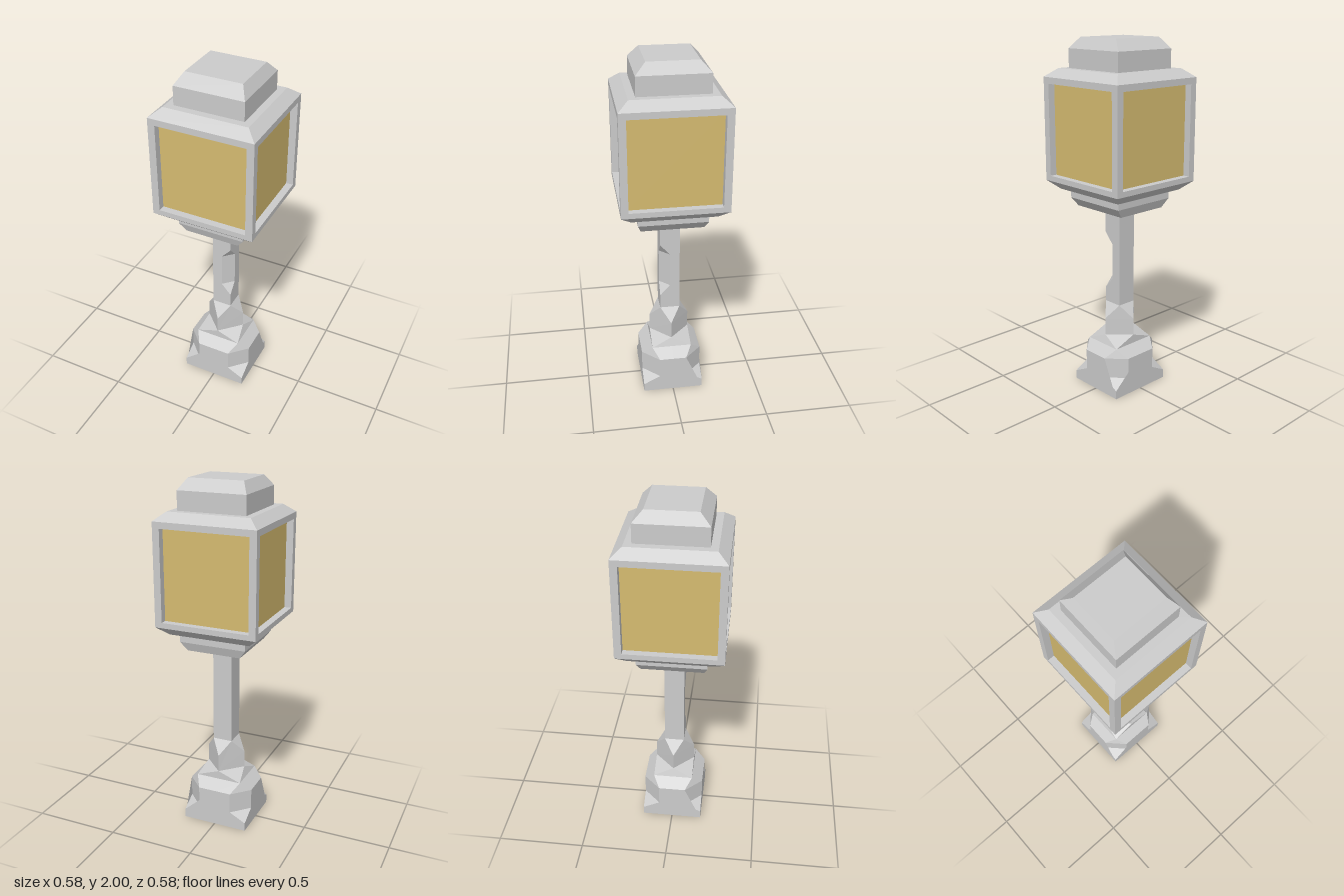
import * as THREE from 'three';

const grey = new THREE.MeshStandardMaterial({ color: 0xcccccc, flatShading: true, side: THREE.DoubleSide });
const amber = new THREE.MeshStandardMaterial({ color: 0xd5bb70 });

// Flat polygons (counter-clockwise corner lists) split into triangle fans
function facesMesh(name, faces) {
  const pos = [];
  for (const f of faces)
    for (let i = 1; i < f.length - 1; i++) pos.push(...f[0], ...f[i], ...f[i + 1]);
  const g = new THREE.BufferGeometry();
  g.setAttribute('position', new THREE.Float32BufferAttribute(pos, 3));
  g.computeVertexNormals();
  const m = new THREE.Mesh(g, grey);
  m.name = name;
  return m;
}

// Mirror the faces of the +x +z quarter into another quarter, keeping them outward
function quarter(faces, sx, sz) {
  return faces.map(f => {
    const p = f.map(([x, y, z]) => [x * sx, y, z * sz]);
    return sx * sz < 0 ? p.reverse() : p;
  });
}
const quarters = [[1, 1], [-1, 1], [-1, -1], [1, -1]];
const allQuarters = faces => quarters.flatMap(([sx, sz]) => quarter(faces, sx, sz));

// Closed solid through rectangular sections [halfX, y, halfZ], listed bottom to top
function stack(name, sections) {
  const rings = sections.map(([hx, y, hz]) => [[hx, y, hz], [hx, y, -hz], [-hx, y, -hz], [-hx, y, hz]]);
  const faces = [[...rings[0]].reverse(), rings[rings.length - 1]];
  for (let i = 0; i < rings.length - 1; i++)
    for (let k = 0; k < 4; k++) {
      const n = (k + 1) % 4;
      faces.push([rings[i][k], rings[i][n], rings[i + 1][n], rings[i + 1][k]]);
    }
  return facesMesh(name, faces);
}

function box(name, w, h, d, x, y, z, mat = grey) {
  const m = new THREE.Mesh(new THREE.BoxGeometry(w, h, d), mat);
  m.position.set(x, y, z);
  m.name = name;
  return m;
}

export function createModel() {
  const model = new THREE.Group();
  model.name = 'lampPost';

  // Foot: open-bottomed block with chipped corners, sloping up to a gabled crown
  const X = 0.193, Z = 0.175, cx = 0.098, cz = 0.078, tx = 0.135, tz = 0.115, d = 0.115;
  model.add(facesMesh('foot', allQuarters([
    [[0, 0, Z], [X, 0, Z], [X, 0.05, Z], [cx, 0.1, Z], [cx, 0.22, Z], [0, 0.22, Z]],
    [[X, 0, 0], [X, 0.22, 0], [X, 0.22, cz], [X, 0.1, cz], [X, 0.05, Z], [X, 0, Z]],
    [[X, 0.05, Z], [X, 0.1, cz], [cx, 0.1, Z]],
    [[cx, 0.1, Z], [X, 0.1, cz], [X, 0.22, cz], [cx, 0.22, Z]],
    [[cx, 0.22, Z], [X, 0.22, cz], [tx, 0.27, tz]],
    [[0, 0.22, Z], [cx, 0.22, Z], [tx, 0.27, tz], [0, 0.27, tz]],
    [[X, 0.22, cz], [X, 0.22, 0], [tx, 0.27, 0], [tx, 0.27, tz]],
    [[0, 0.27, tz], [tx, 0.27, tz], [0, 0.32, d]],
    [[tx, 0.27, tz], [tx, 0.27, 0], [d, 0.32, 0]],
    [[tx, 0.27, tz], [d, 0.32, 0], [0, 0.32, d]],
  ])));

  // Diamond-shaped plinth narrowing to the square shaft
  const s = 0.0565;
  model.add(facesMesh('plinth', allQuarters([
    [[0, 0.32, d], [d, 0.32, 0], [d, 0.42, 0], [s, 0.5, s], [0, 0.42, d]],
    [[0, 0.42, d], [s, 0.5, s], [0, 0.5, s]],
    [[d, 0.42, 0], [s, 0.5, 0], [s, 0.5, s]],
  ])));

  // Square shaft with one chipped corner at the front left
  const top = 1.08;
  const plain = [
    [[0, 0.5, s], [s, 0.5, s], [s, top, s], [0, top, s]],
    [[s, 0.5, s], [s, 0.5, 0], [s, top, 0], [s, top, s]],
  ];
  const chipped = [
    [[0, 0.5, s], [s, 0.5, s], [s, 0.585, s], [0, 0.65, s]],
    [[0, 0.855, s], [s, 0.92, s], [s, top, s], [0, top, s]],
    [[s, 0.5, s], [s, 0.5, 0], [s, 0.65, 0], [s, 0.585, s]],
    [[s, 0.92, s], [s, 0.855, 0], [s, top, 0], [s, top, s]],
    [[0, 0.65, s], [s, 0.65, 0], [s, 0.855, 0], [0, 0.855, s]],
    [[s, 0.585, s], [s, 0.65, 0], [0, 0.65, s]],
    [[s, 0.92, s], [0, 0.855, s], [s, 0.855, 0]],
  ];
  model.add(facesMesh('shaft', quarters.flatMap(([sx, sz], i) => quarter(i ? plain : chipped, sx, sz))));

  // Lantern: collar, bevelled floor and roof, cap
  const lantern = new THREE.Group();
  lantern.name = 'lantern';
  const h = 0.29, g = 0.25, y0 = 1.25, y1 = 1.755;
  lantern.add(
    stack('collar', [[0.155, 1.07, 0.175], [0.193, 1.12, 0.193], [0.193, 1.17, 0.193]]),
    stack('lanternFloor', [[0.233, 1.17, 0.233], [h, 1.22, h], [h, y0, h]]),
    stack('lanternRoof', [[h, y1, h], [h, 1.79, h], [0.233, 1.836, 0.233]]),
    stack('cap', [[0.193, 1.836, 0.193], [0.193, 1.94, 0.193], [0.156, 2, 0.137]]),
  );

  // Glass block set back behind the four corner posts
  lantern.add(box('glass', 2 * g, y1 - y0, 2 * g, 0, (y0 + y1) / 2, 0, amber));
  const w = h - g, c = (h + g) / 2;
  for (const [sx, sz] of quarters)
    lantern.add(box('cornerPost', w, y1 - y0, w, sx * c, (y0 + y1) / 2, sz * c));
  model.add(lantern);

  return model;
}
